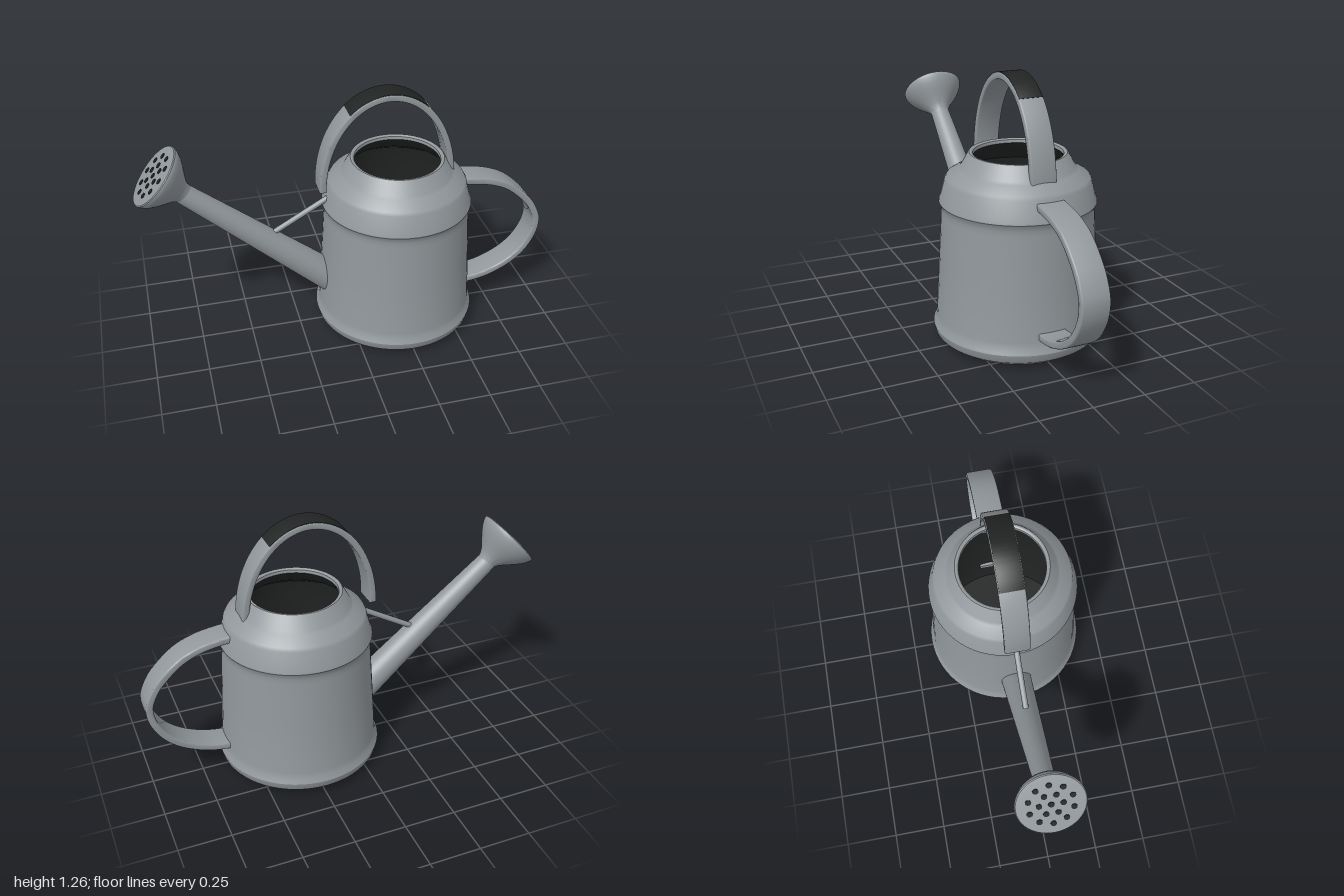
import * as THREE from 'three';
import { toCreasedNormals } from 'three/addons/utils/BufferGeometryUtils.js';

const metal = new THREE.MeshStandardMaterial({ color: 0x92989c, side: THREE.DoubleSide });
const dark = new THREE.MeshStandardMaterial({ color: 0x222424, side: THREE.DoubleSide });
const BODY_X = 0.245;

function part(name, geometry, parent, material = metal) {
  const mesh = new THREE.Mesh(geometry, material);
  mesh.name = name;
  parent.add(mesh);
  return mesh;
}

function lathe(profile, segments = 64) {
  const points = profile.map(([r, y]) => new THREE.Vector2(r, y));
  return toCreasedNormals(new THREE.LatheGeometry(points, segments), 0.5);
}

// Flat metal strap: a thin band following a 2D curve, extruded across z.
function strap(curve, thickness, width, bevel, steps = 48) {
  const outer = [], inner = [];
  const half = thickness / 2 - bevel;
  for (let i = 0; i <= steps; i++) {
    const p = curve.getPoint(i / steps), t = curve.getTangent(i / steps);
    outer.push(new THREE.Vector2(p.x - t.y * half, p.y + t.x * half));
    inner.push(new THREE.Vector2(p.x + t.y * half, p.y - t.x * half));
  }
  const geometry = new THREE.ExtrudeGeometry(new THREE.Shape([...outer, ...inner.reverse()]), {
    depth: width - 2 * bevel, bevelEnabled: true, bevelSize: bevel, bevelThickness: bevel, bevelSegments: 3,
  });
  geometry.translate(0, 0, -width / 2 + bevel);
  return toCreasedNormals(geometry, 0.6);
}

// Round bar or cone between two points in the x-y plane.
function bar(from, to, r0, r1, segments) {
  const a = new THREE.Vector3(...from, 0), b = new THREE.Vector3(...to, 0);
  const dir = b.clone().sub(a);
  const geometry = new THREE.CylinderGeometry(r1, r0, dir.length(), segments);
  geometry.applyQuaternion(new THREE.Quaternion().setFromUnitVectors(new THREE.Vector3(0, 1, 0), dir.normalize()));
  const mid = a.add(b).multiplyScalar(0.5);
  return geometry.translate(mid.x, mid.y, 0);
}

function createRose() {
  const rose = new THREE.Group();
  rose.name = 'sprinklerRose';
  // flared bell closed by a flat face
  part('roseShell', lathe([
    [0, -0.175], [0.046, -0.172], [0.05, -0.155], [0.063, -0.133], [0.09, -0.104], [0.117, -0.075],
    [0.138, -0.049], [0.151, -0.026], [0.157, -0.01], [0.157, -0.003], [0.153, 0.001], [0.146, 0.002], [0, 0.002],
  ], 48), rose);

  // sprinkler holes: one in the middle and two rings
  for (const [count, radius, turn] of [[1, 0, 0], [6, 0.053, Math.PI / 6], [10, 0.101, 0]]) {
    for (let i = 0; i < count; i++) {
      const a = (i / count) * Math.PI * 2 + turn;
      const hole = part('sprinklerHole', new THREE.CylinderGeometry(0.0135, 0.0135, 0.006, 20), rose, dark);
      hole.position.set(Math.cos(a) * radius, 0.002, Math.sin(a) * radius);
    }
  }

  rose.position.set(-0.893, 0.962, 0);
  rose.rotation.z = THREE.MathUtils.degToRad(48.2);
  return rose;
}

export function createModel() {
  const model = new THREE.Group();
  model.name = 'wateringCan';

  // body: foot, tapered wall, raised seam, shoulder, neck and rolled lip
  const body = part('body', lathe([
    [0, 0], [0.33, 0], [0.345, 0.006], [0.388, 0.036], [0.393, 0.044], [0.4, 0.076], [0.397, 0.084],
    [0.387, 0.105], [0.383, 0.13], [0.37, 0.36], [0.355, 0.62], [0.354, 0.645], [0.358, 0.664], [0.365, 0.678],
    [0.363, 0.688], [0.356, 0.705], [0.337, 0.78], [0.328, 0.795], [0.274, 0.828], [0.262, 0.84],
    [0.229, 0.9], [0.224, 0.905], [0.215, 0.905], [0.207, 0.9], [0.205, 0.885],
  ]), model);
  body.position.x = BODY_X;

  // dark hollow inside
  const interior = part('interior', lathe([
    [0.205, 0.885], [0.245, 0.825], [0.315, 0.78], [0.34, 0.68], [0.365, 0.12], [0.35, 0.03], [0, 0.03],
  ]), model, dark);
  interior.position.x = BODY_X;

  // arched carrying handle over the opening, with a dark grip on its crown
  const arch = new THREE.EllipseCurve(0.185, 0.795, 0.315, 0.445, 0, Math.PI, false, 0);
  part('carryHandle', strap(arch, 0.032, 0.122, 0.007), model);
  const crown = new THREE.EllipseCurve(0.185, 0.795, 0.331, 0.461, Math.PI * 0.31, Math.PI * 0.69, false, 0);
  part('handleGrip', strap(crown, 0.003, 0.114, 0.001), model, dark);

  // rounded pouring handle on the side
  const loop = new THREE.SplineCurve([
    [0.56, 0.75], [0.62, 0.746], [0.72, 0.727], [0.82, 0.682], [0.92, 0.59], [0.968, 0.51], [0.98, 0.45],
    [0.965, 0.375], [0.915, 0.29], [0.84, 0.225], [0.74, 0.177], [0.66, 0.158], [0.6, 0.152],
  ].map(([x, y]) => new THREE.Vector2(x, y)));
  part('sideHandle', strap(loop, 0.035, 0.134, 0.008), model);

  // tapered spout, its support rod and the rose
  part('spout', bar([-0.06, 0.238], [-0.785, 0.862], 0.079, 0.048, 40), model);
  part('spoutBrace', bar([-0.37, 0.568], [-0.08, 0.735], 0.014, 0.014, 16), model);
  model.add(createRose());

  return model;
}
